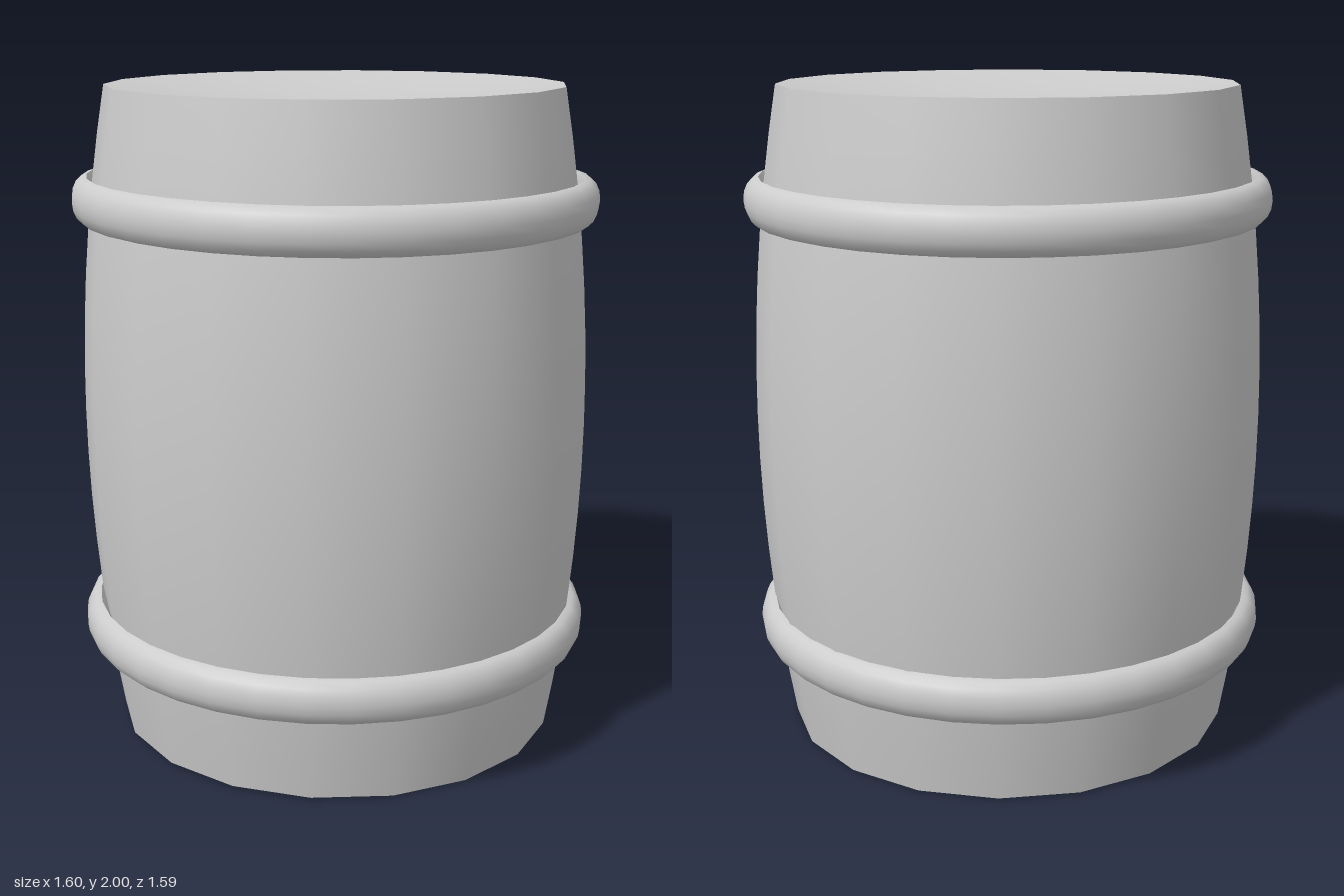
import * as THREE from 'three';

const SIDES = 18;

export function createModel() {
  const group = new THREE.Group();
  const grey = new THREE.MeshStandardMaterial({ color: 0xcccccc });
  grey.name = 'light grey';

  const add = (parent, name, geometry) => {
    const mesh = new THREE.Mesh(geometry, grey);
    mesh.name = name;
    parent.add(mesh);
  };

  // smooth turned surface; points run so that the outside lies to their right
  const turn = (points, sides) => {
    const geometry = new THREE.LatheGeometry(points.map(([r, y]) => new THREE.Vector2(r, y)), sides);
    geometry.normalizeNormals();
    return geometry;
  };

  // the foot of the barrel is cut very slightly askew
  const skew = (geometry) => {
    const p = geometry.attributes.position;
    for (let i = 0; i < p.count; i++) {
      const y = p.getY(i);
      p.setY(i, y + (1 - y / 2) * (0.008 - 0.008 * p.getX(i) - 0.004 * p.getZ(i)));
    }
    return geometry;
  };

  // bulging wall
  const wall = [];
  for (let i = 0; i <= 14; i++) {
    const t = i / 7 - 1;
    wall.push([0.78 - 0.09 * t * t, 1 + t]);
  }
  add(group, 'barrelWall', skew(turn(wall, SIDES)));

  // shallow dished ends, sharp against the wall
  const dish = [];
  for (let i = 0; i <= 6; i++) {
    const t = i / 6;
    dish.push([0.69 * t, 0.06 * (1 - t * t)]);
  }
  add(group, 'bottomLid', skew(turn(dish, SIDES)));
  add(group, 'topLid', turn(dish.map(([r, y]) => [r, 2 - y]).reverse(), SIDES));

  // hoops: rounded outside, with a sharp rim and a face sloping in to the wall
  const rounded = [];
  for (let i = 0; i <= 8; i++) {
    const a = (i / 8 - 0.5) * Math.PI;
    rounded.push([0.75 + 0.046 * Math.cos(a), 0.068 * Math.sin(a)]);
  }
  const inner = [[0.75, 0.068], [0.728, 0.03], [0.728, -0.03], [0.75, -0.068]];
  for (const [name, y, x, tilt] of [['upperHoop', 1.665, 0, -0.004], ['lowerHoop', 0.343, -0.005, -0.007]]) {
    const hoop = new THREE.Group();
    hoop.name = name;
    add(hoop, name + 'Outside', turn(rounded, 36));
    add(hoop, name + 'Inside', turn(inner, 36));
    hoop.position.set(x, y, 0);
    hoop.rotation.z = tilt;
    group.add(hoop);
  }

  return group;
}
